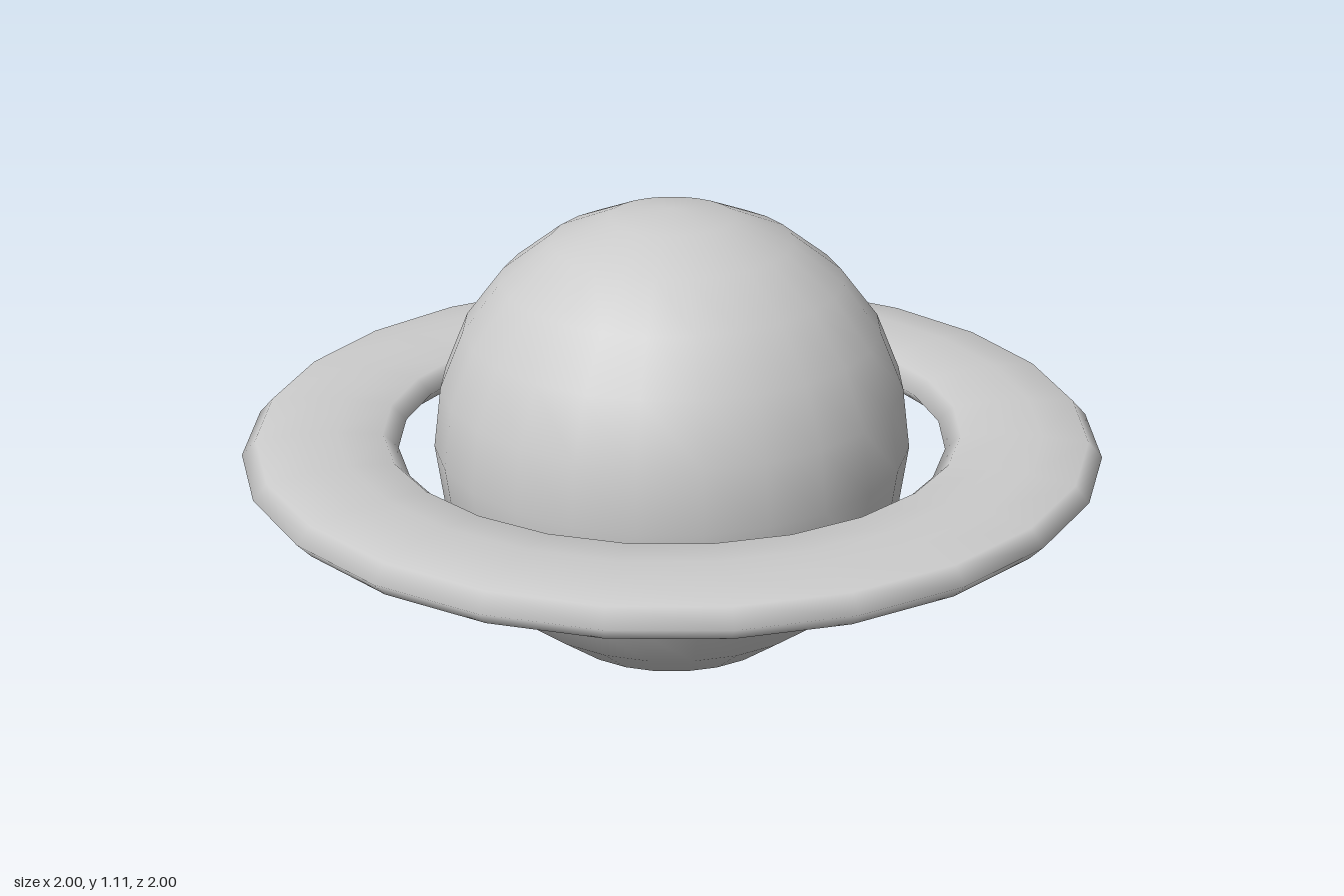
import * as THREE from 'three';
import { mergeVertices } from 'three/addons/utils/BufferGeometryUtils.js';

const RADIUS = 0.557;

// Closed ring with a flattened, rounded section, smooth all round
function ringGeometry() {
  const upper = [[1, 0], [0.967, 0.036], [0.86, 0.046], [0.78, 0.046], [0.675, 0.036], [0.64, 0]];
  const lower = upper.slice(1, -1).reverse().map(([r, y]) => [r, -y]);
  const section = [[0.64, 0], ...lower, ...upper].map(([r, y]) => new THREE.Vector2(r, y));
  const lathe = new THREE.LatheGeometry(section, 24);
  lathe.deleteAttribute('normal');
  lathe.deleteAttribute('uv');
  const ring = mergeVertices(lathe, 1e-4);
  ring.computeVertexNormals();
  return ring;
}

export function createModel() {
  const model = new THREE.Group();
  model.name = 'ringedPlanet';
  const material = new THREE.MeshStandardMaterial({ color: 0xcccccc });

  const add = (name, geometry) => {
    const mesh = new THREE.Mesh(geometry, material);
    mesh.name = name;
    mesh.position.y = RADIUS;
    model.add(mesh);
  };

  // Planet body
  add('planet', new THREE.SphereGeometry(RADIUS, 24, 12));
  // Ring floating around the equator
  add('ring', ringGeometry());

  return model;
}
